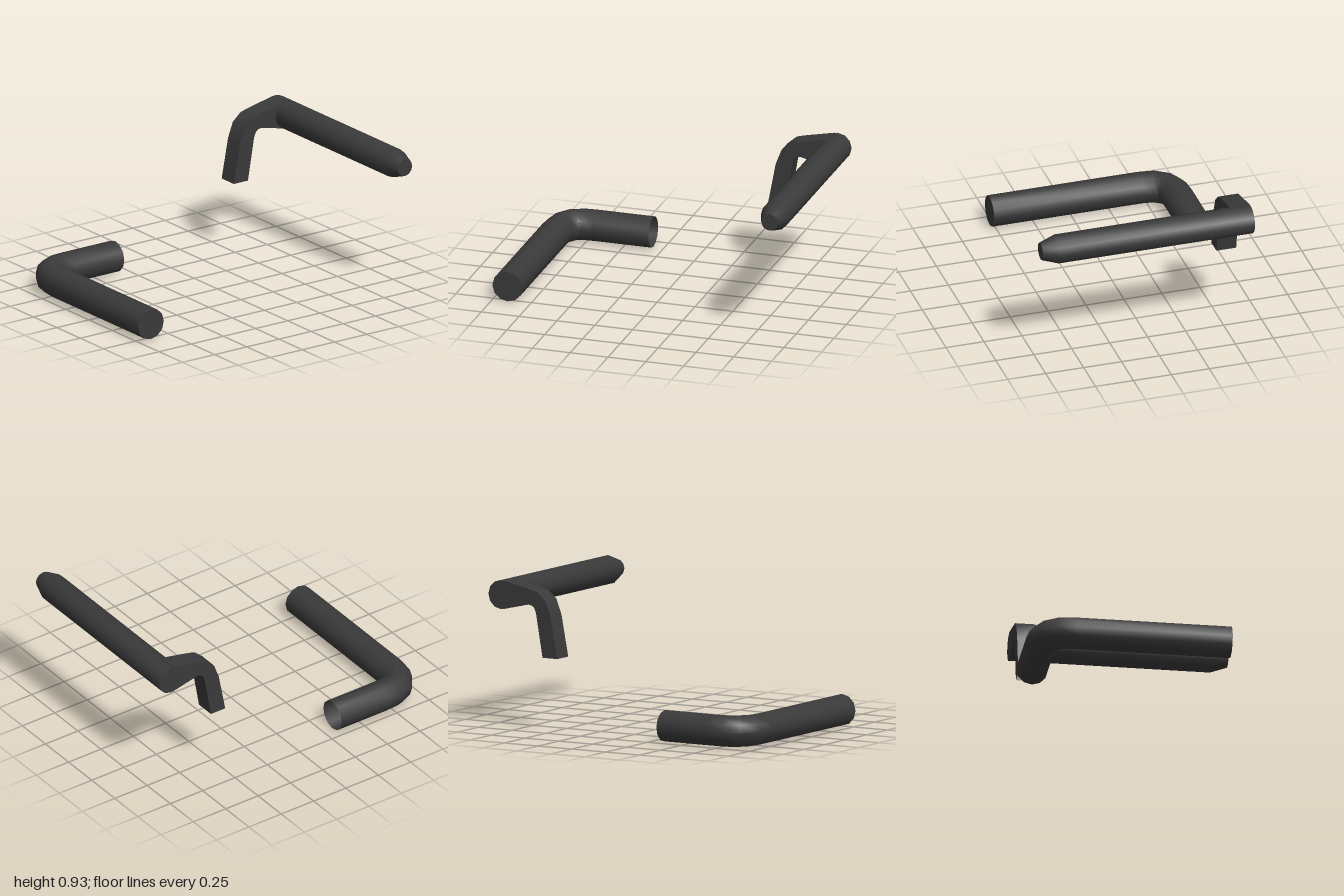
import * as THREE from 'three';
import { toCreasedNormals } from 'three/addons/utils/BufferGeometryUtils.js';

const material = new THREE.MeshStandardMaterial({ color: 0x3a3a3a, side: THREE.DoubleSide });

// Skin a list of equal-length point rings, with optional flat end caps
function loft(rings, capStart, capEnd) {
  const n = rings[0].length, last = (rings.length - 1) * n, index = [];
  for (let i = 0; i < rings.length - 1; i++) {
    for (let j = 0; j < n; j++) {
      const a = i * n + j, b = i * n + (j + 1) % n;
      index.push(a, a + n, b, b, a + n, b + n);
    }
  }
  for (let j = 1; j < n - 1; j++) {
    if (capStart) index.push(0, j, j + 1);
    if (capEnd) index.push(last, last + j + 1, last + j);
  }
  const geometry = new THREE.BufferGeometry().setFromPoints(rings.flat());
  geometry.setIndex(index);
  return toCreasedNormals(geometry, 0.7);
}

// Round rings along a horizontal path of [x, z, radius]
function roundRings(path, y, sides = 12) {
  const up = new THREE.Vector3(0, 1, 0);
  const points = path.map(([x, z]) => new THREE.Vector3(x, y, z));
  return points.map((p, i) => {
    const before = points[Math.max(i - 1, 0)], after = points[Math.min(i + 1, points.length - 1)];
    const side = after.clone().sub(before).normalize().cross(up);
    return Array.from({ length: sides }, (_, j) => {
      const a = (j / sides) * Math.PI * 2;
      return p.clone()
        .addScaledVector(side, Math.cos(a) * path[i][2])
        .addScaledVector(up, Math.sin(a) * path[i][2]);
    });
  });
}

function addPart(parent, name, geometry) {
  const mesh = new THREE.Mesh(geometry, material);
  mesh.name = name;
  parent.add(mesh);
}

export function createModel() {
  const model = new THREE.Group();
  model.name = 'bentBars';

  // Bent pipe: closed at the front, open at the inward end
  const r = 0.1;
  const pipePath = [
    [-0.9, 0.525, r], [-0.9, -0.465, r], [-0.888, -0.553, r], [-0.841, -0.621, r],
    [-0.772, -0.652, r], [-0.69, -0.657, r], [-0.32, -0.657, r],
  ];
  addPart(model, 'bentPipe', loft(roundRings(pipePath, 0.1), true, false));

  // Lever: tapered rod carried by a square bent arm
  const lever = new THREE.Group();
  lever.name = 'lever';
  model.add(lever);

  const rodPath = [[0.9075, 0.755, 0.056], [0.9075, 0.65, 0.0925], [0.9075, -0.63, 0.0925]];
  addPart(lever, 'leverRod', loft(roundRings(rodPath, 0.835), true, true));

  // Outer and inner edge of the arm from its open foot up to the rod
  const armEdges = [
    [0.49, 0.457, 0.6, 0.457], [0.54, 0.72, 0.648, 0.735], [0.577, 0.817, 0.661, 0.767],
    [0.638, 0.87, 0.68, 0.783], [0.705, 0.887, 0.705, 0.787], [0.891, 0.926, 0.891, 0.744],
  ];
  // Straighten the run into the rod so its upper edge meets the rod tangentially
  const armRings = armEdges.map(([ox, oy, ix, iy]) => [
    new THREE.Vector3(ox, oy, -0.5), new THREE.Vector3(ox, oy, -0.63),
    new THREE.Vector3(ix, iy, -0.63), new THREE.Vector3(ix, iy, -0.5),
  ]);
  addPart(lever, 'leverArm', loft(armRings, false, true));

  return model;
}
